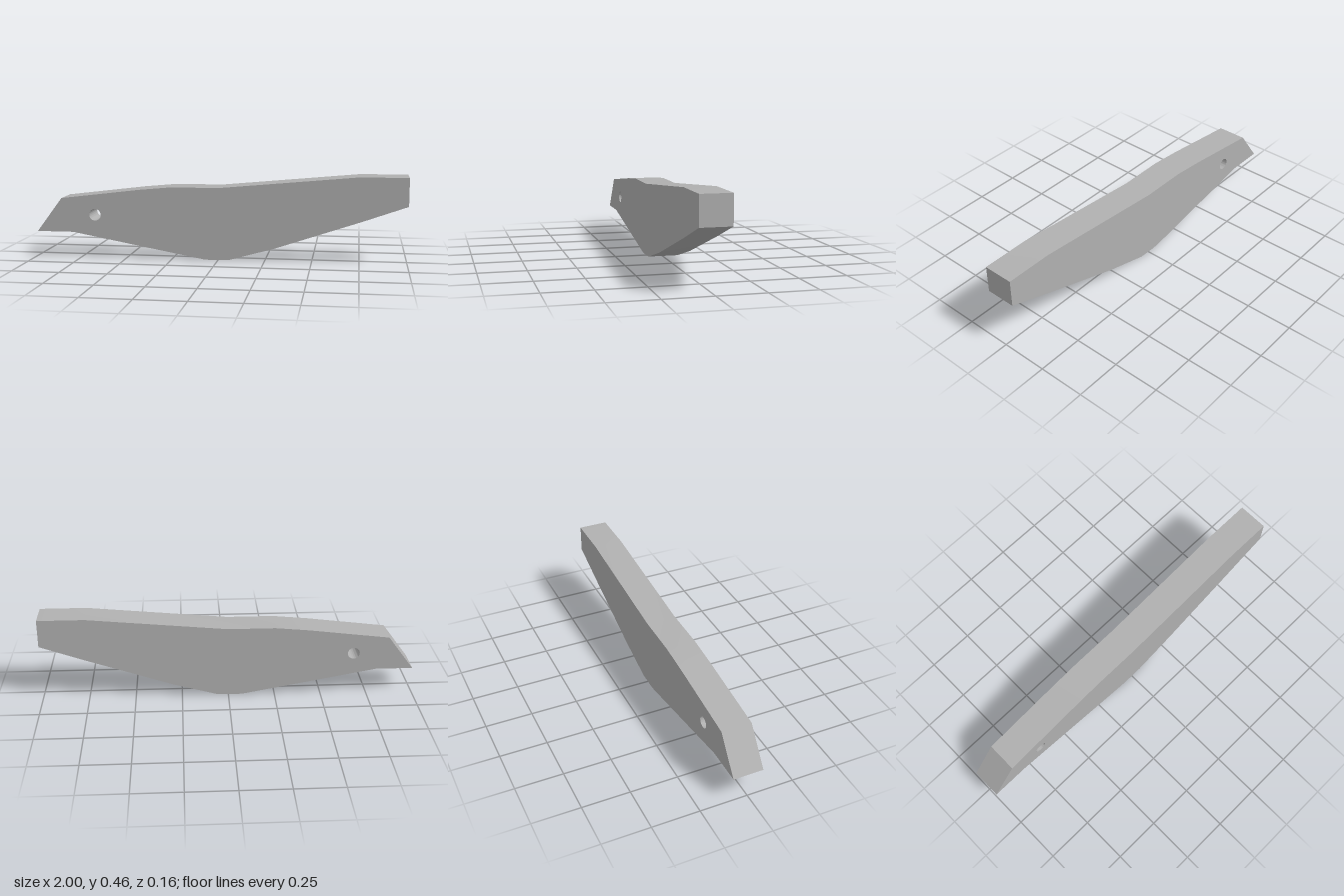
import * as THREE from 'three';
import { toCreasedNormals } from 'three/addons/utils/BufferGeometryUtils.js';

export function createModel() {
  const model = new THREE.Group();
  model.name = 'leverArm';

  const greyMetal = new THREE.MeshStandardMaterial({ color: 0xb0b0b0 });
  greyMetal.name = 'greyMetal';

  // Side profile, counter-clockwise from the pointed lower tip
  const profile = [
    [-1, 0.135], [-0.8, 0.135], [-0.08, 0.003], [-0.04, 0], [0.06, 0.003],
    [0.3, 0.07], [0.76, 0.225], [1, 0.31], [1, 0.46], [0.75, 0.46],
    [0, 0.39], [-0.25, 0.39], [-0.43, 0.373], [-0.862, 0.32],
  ].map(([x, y]) => new THREE.Vector2(x, y));
  const shape = new THREE.Shape(profile);

  // Round pin hole through the narrow end
  const pinHole = new THREE.Path();
  pinHole.absarc(-0.675, 0.232, 0.032, 0, Math.PI * 2, true);
  shape.holes.push(pinHole);

  // Flat plate, with gentle bends smoothed and real corners kept sharp
  const depth = 0.16;
  const plate = new THREE.ExtrudeGeometry(shape, { depth, bevelEnabled: false, curveSegments: 32 });
  plate.translate(0, 0, -depth / 2);
  const arm = new THREE.Mesh(toCreasedNormals(plate, 0.5), greyMetal);
  arm.name = 'armPlate';
  model.add(arm);

  return model;
}
